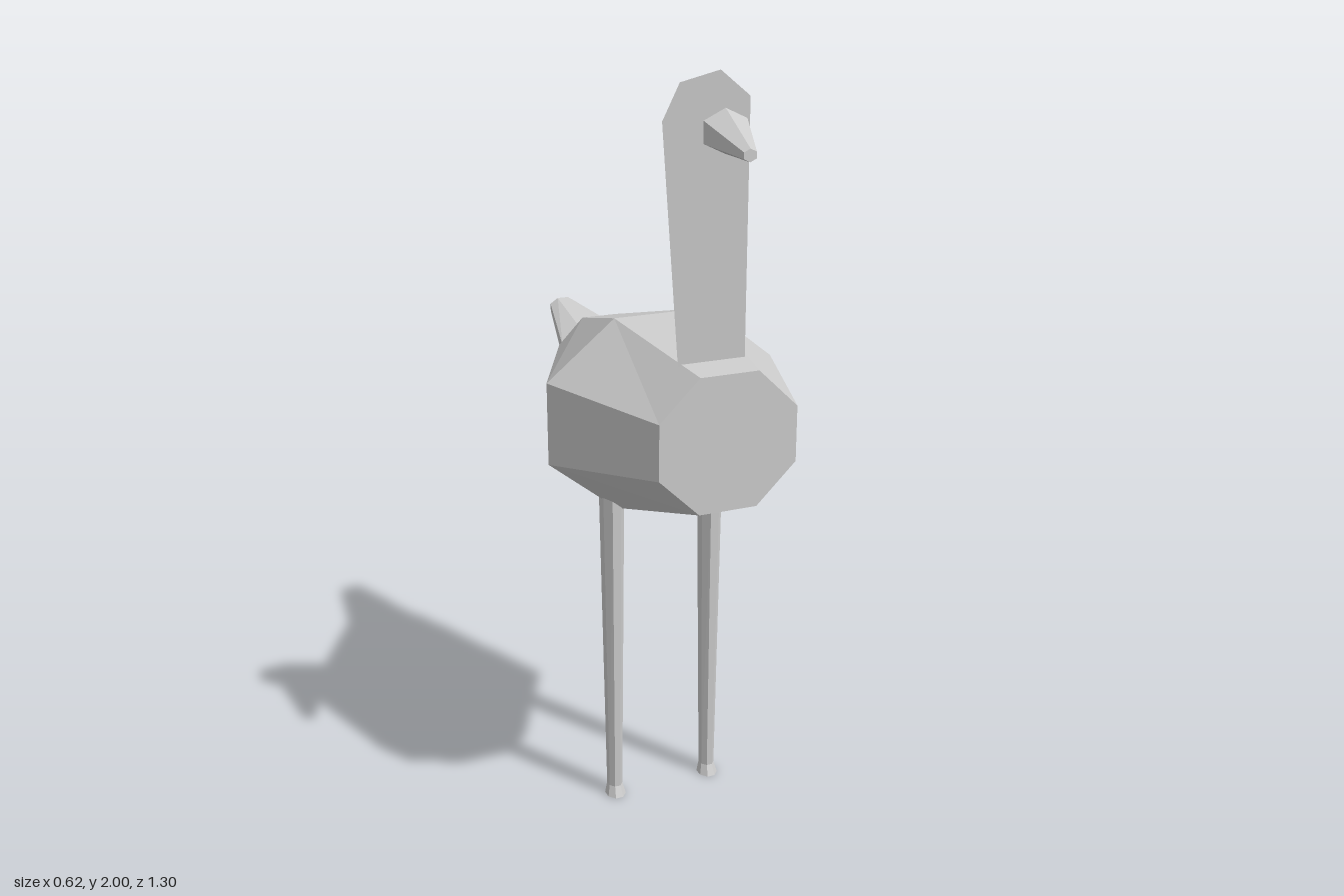
import * as THREE from 'three';

// Octagonal ring: centre x, y, z, half width/height, and half lengths of the flat sides
function octagon(x, y, z, hw, hh, fw = hw * 0.414, fh = hh * 0.414) {
  return [[hw, -fh], [hw, fh], [fw, hh], [-fw, hh], [-hw, fh], [-hw, -fh], [-fw, -hh], [fw, -hh]]
    .map(([px, py]) => new THREE.Vector3(x + px, y + py, z));
}

// Hexagonal ring with a point at the top
function hexagon(x, y, z, rx, ry) {
  return Array.from({ length: 6 }, (_, i) => {
    const a = Math.PI / 6 + i * Math.PI / 3;
    return new THREE.Vector3(x + rx * Math.cos(a), y + ry * Math.sin(a), z);
  });
}

// Faceted solid through rings ordered by rising z, closed at both ends
function loft(rings) {
  const pts = [];
  const n = rings[0].length;
  for (let i = 0; i < rings.length - 1; i++) {
    for (let j = 0; j < n; j++) {
      const k = (j + 1) % n;
      const a = rings[i][j], b = rings[i][k], c = rings[i + 1][k], d = rings[i + 1][j];
      pts.push(a, b, c, a, c, d);
    }
  }
  const back = rings[0], front = rings[rings.length - 1];
  for (let j = 1; j < n - 1; j++) {
    pts.push(back[0], back[j + 1], back[j], front[0], front[j], front[j + 1]);
  }
  const g = new THREE.BufferGeometry().setFromPoints(pts);
  g.computeVertexNormals();
  return g;
}

export function createModel() {
  const group = new THREE.Group();
  const grey = new THREE.MeshStandardMaterial({ color: 0xcccccc, flatShading: true, side: THREE.DoubleSide });
  grey.name = 'light grey';
  const add = (name, geometry) => {
    const mesh = new THREE.Mesh(geometry, grey);
    mesh.name = name;
    group.add(mesh);
    return mesh;
  };

  // Body, widest at the hips
  add('body', loft([
    octagon(0, 1.133, -0.40, 0.12, 0.113, 0.05, 0.042),
    octagon(0, 1.11, 0.04, 0.31, 0.255, 0.128, 0.108),
    octagon(0, 1.15, 0.44, 0.178, 0.17, 0.075, 0.07),
  ]));

  // Flattened tail rising backwards
  add('tail', loft([
    octagon(-0.018, 1.215, -0.65, 0.038, 0.025),
    octagon(0, 1.153, -0.40, 0.11, 0.048),
  ]));

  // Neck and head as one thin leaning sheet
  const outline = [[-0.095, 1.325], [0.078, 1.325], [0.065, 1.94], [-0.01, 2.0], [-0.107, 1.977], [-0.147, 1.895]];
  const neck = new THREE.ShapeGeometry(new THREE.Shape(outline.map(([x, y]) => new THREE.Vector2(x, y))));
  const p = neck.attributes.position;
  for (let i = 0; i < p.count; i++) p.setZ(i, 0.356 + (p.getY(i) - 1.325) * 0.045);
  neck.computeVertexNormals();
  add('neck', neck);

  // Beak
  add('beak', loft([
    hexagon(-0.037, 1.881, 0.47, 0.06, 0.049),
    hexagon(-0.066, 1.858, 0.65, 0.017, 0.014),
  ]));

  // Legs, lofted along z and stood upright
  for (const [side, name] of [[1, 'leftLeg'], [-1, 'rightLeg']]) {
    const leg = loft([
      octagon(0, -0.045, 0, 0.026, 0.031),
      octagon(0, -0.04, 0.03, 0.019, 0.023),
      octagon(0, -0.039, 0.895, 0.029, 0.038),
    ]);
    leg.rotateX(-Math.PI / 2);
    add(name, leg).position.x = side * 0.14;
  }
  return group;
}
